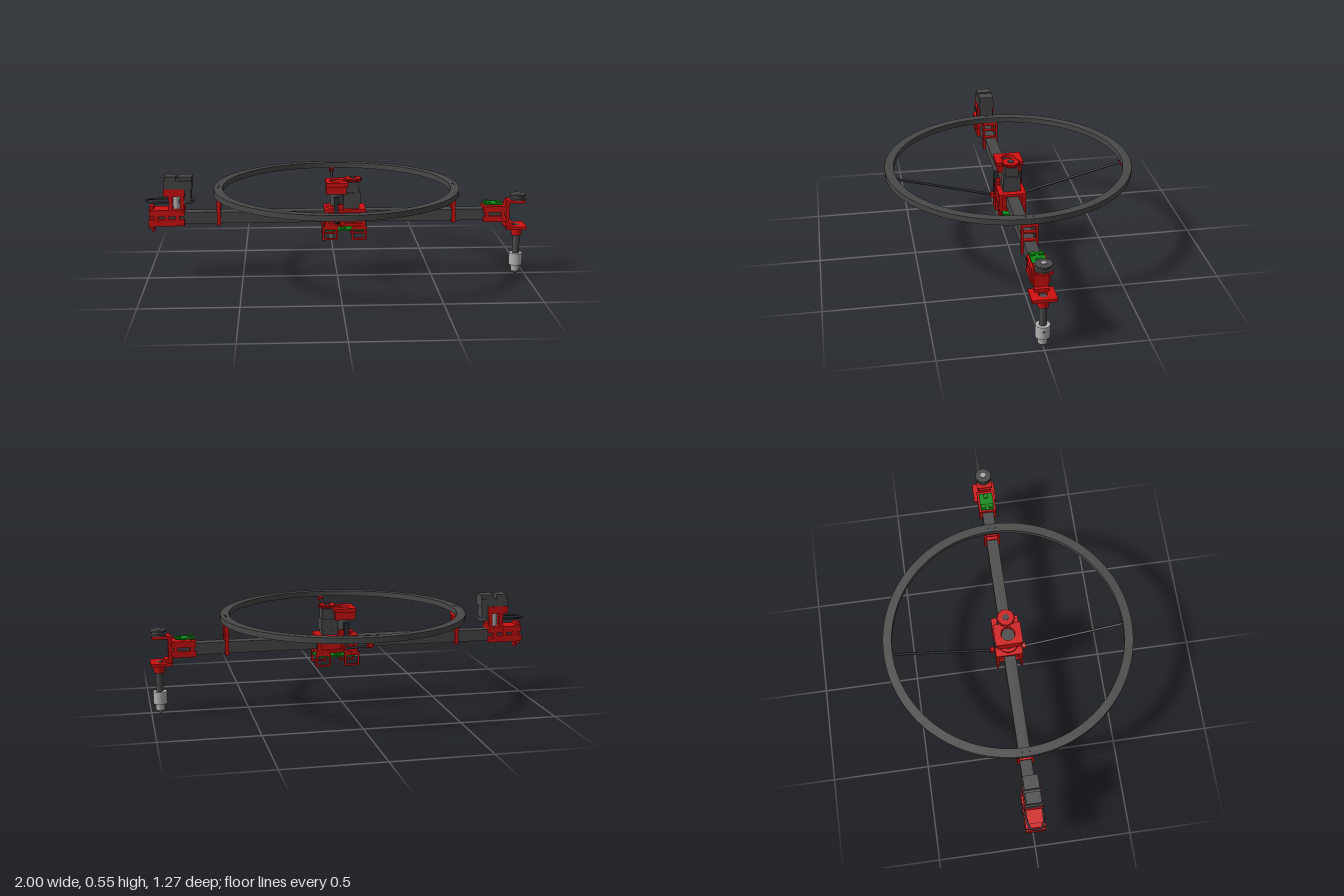
import * as THREE from 'three';

const mat = (color) => new THREE.MeshStandardMaterial({ color });
const RED = mat(0xd01010), DARK = mat(0x484848), BLACK = mat(0x303036), GREEN = mat(0x0a8a12), STEEL = mat(0xaaaaaa);

function add(parent, name, geo, material, x = 0, y = 0, z = 0) {
  const m = new THREE.Mesh(geo, material);
  m.name = name;
  m.position.set(x, y, z);
  parent.add(m);
  return m;
}
// box given by its limits on each axis
function box(parent, name, material, [x0, x1], [y0, y1], [z0, z1]) {
  return add(parent, name, new THREE.BoxGeometry(x1 - x0, y1 - y0, z1 - z0), material,
    (x0 + x1) / 2, (y0 + y1) / 2, (z0 + z1) / 2);
}
// upright cylinder between two heights
function cyl(parent, name, material, x, z, y0, y1, r, rBottom = r, n = 32) {
  return add(parent, name, new THREE.CylinderGeometry(r, rBottom, y1 - y0, n), material, x, (y0 + y1) / 2, z);
}
// flat shape in plan, extruded upwards from y
function plate(parent, name, material, shape, x, y, z, h) {
  const g = new THREE.ExtrudeGeometry(shape, { depth: h, bevelEnabled: false, curveSegments: 24 });
  g.rotateX(-Math.PI / 2);
  return add(parent, name, g, material, x, y, z);
}
function rectShape(w, d, holeR) {
  const s = new THREE.Shape();
  s.moveTo(-w / 2, -d / 2).lineTo(w / 2, -d / 2).lineTo(w / 2, d / 2).lineTo(-w / 2, d / 2).closePath();
  if (holeR) s.holes.push(new THREE.Path().absarc(0, 0, holeR, 0, Math.PI * 2, true));
  return s;
}
function gearShape(r, teeth, holeR) {
  const s = new THREE.Shape();
  for (let i = 0; i < teeth * 4; i++) {
    const a = (i / (teeth * 4)) * Math.PI * 2, q = i % 4 < 2 ? r : r * 0.86;
    i ? s.lineTo(q * Math.cos(a), q * Math.sin(a)) : s.moveTo(q, 0);
  }
  s.closePath();
  s.holes.push(new THREE.Path().absarc(0, 0, holeR, 0, Math.PI * 2, true));
  return s;
}
function group(parent, name) {
  const g = new THREE.Group();
  g.name = name;
  parent.add(g);
  return g;
}

function buildFrame(root) {
  box(root, 'beam', DARK, [-0.96, 0.89], [0.302, 0.362], [-0.03, 0.03]);
  // square-section ring
  const profile = [[0.592, 0.461], [0.637, 0.461], [0.637, 0.49], [0.592, 0.49], [0.592, 0.461]];
  const shape = new THREE.Shape().absarc(0, 0, profile[1][0], 0, Math.PI * 2);
  shape.holes.push(new THREE.Path().absarc(0, 0, profile[0][0], 0, Math.PI * 2, true));
  const g = new THREE.ExtrudeGeometry(shape, { depth: 0.029, bevelEnabled: false, curveSegments: 64 });
  g.rotateX(-Math.PI / 2);
  add(root, 'ring', g, DARK, -0.005, 0.461, 0);

  // brackets carrying the ring on the beam
  for (const s of [-1, 1]) {
    const b = group(root, 'ringBracket');
    const x = -0.005 + s * 0.613, xs = [x - 0.01, x + 0.01];
    for (const z of [-1, 1]) {
      box(b, 'bracketSide', RED, xs, [0.294, 0.44], [z * 0.036 - 0.006, z * 0.036 + 0.006]);
      box(b, 'ringScrew', BLACK, [x - 0.004, x + 0.004], [0.488, 0.492], [z * 0.02 - 0.004, z * 0.02 + 0.004]);
    }
    for (const y of [0.294, 0.362, 0.405]) box(b, 'crossPiece', RED, xs, [y, y + 0.008], [-0.036, 0.036]);
    box(b, 'bracketTop', RED, [x - 0.014, x + 0.014], [0.44, 0.461], [-0.042, 0.042]);
  }

  // struts to the front and back of the ring
  for (const s of [-1, 1]) {
    const a = new THREE.Vector3(-0.005, 0.305, s * 0.07), e = new THREE.Vector3(-0.005, 0.448, s * 0.62);
    const dir = e.clone().sub(a), len = dir.length();
    const strut = group(root, 'strut');
    strut.position.copy(a);
    strut.quaternion.setFromUnitVectors(new THREE.Vector3(0, 1, 0), dir.normalize());
    cyl(strut, 'rod', BLACK, 0, 0, 0, len, 0.0065, 0.0065, 12);
    box(strut, 'innerSocket', RED, [-0.012, 0.012], [-0.02, 0.025], [-0.012, 0.012]);
    box(strut, 'outerSocket', RED, [-0.011, 0.011], [len - 0.025, len + 0.004], [-0.011, 0.011]);
    box(root, 'ringFoot', RED, [-0.018, 0.008], [0.44, 0.461], [s * 0.612 - 0.015, s * 0.612 + 0.015]);
  }
}

function buildCentre(root) {
  const c = group(root, 'centreDrive');
  // cradle around the beam
  for (const s of [-1, 1]) {
    box(c, 'cradleSide', RED, [-0.06, 0.135], [0.3, 0.365], [s * 0.042 - 0.01, s * 0.042 + 0.01]);
    box(c, 'cradleRib', RED, [-0.025, 0.015], [0.285, 0.345], [s * 0.06 - 0.01, s * 0.06 + 0.01]);
    for (const x of [-0.058, 0.133]) box(c, 'cradlePost', RED, [x - 0.01, x + 0.01], [0.285, 0.375], [s * 0.06 - 0.01, s * 0.06 + 0.01]);
  }
  box(c, 'cradleTop', RED, [-0.07, 0.145], [0.362, 0.376], [-0.07, 0.07]);
  box(c, 'cradleBottom', RED, [-0.07, 0.145], [0.284, 0.3], [-0.065, 0.065]);
  box(c, 'circuitBoard', GREEN, [-0.06, 0.15], [0.258, 0.266], [-0.05, 0.05]);
  for (const x of [-0.02, 0.03, 0.1]) box(c, 'boardChip', GREEN, [x - 0.015, x + 0.015], [0.266, 0.282], [-0.03, 0.03]);

  // U-shaped landing legs
  for (const x of [-0.04, 0.112]) for (const s of [-1, 1]) {
    const leg = group(c, 'landingLeg'), zs = [s * 0.063 - 0.005, s * 0.063 + 0.005];
    box(leg, 'legLeft', RED, [x + 0.03, x + 0.04], [0.213, 0.286], zs);
    box(leg, 'legRight', RED, [x - 0.04, x - 0.03], [0.213, 0.286], zs);
    box(leg, 'legFoot', RED, [x - 0.04, x + 0.04], [0.213, 0.222], zs);
    box(leg, 'legTop', RED, [x - 0.04, x + 0.04], [0.268, 0.286], zs);
  }
  // motor beside the hollow main shaft
  box(c, 'motorLower', DARK, [0.0, 0.112], [0.376, 0.4], [-0.045, 0.045]);
  box(c, 'motor', DARK, [0.03, 0.118], [0.4, 0.46], [-0.043, 0.043]);
  box(c, 'motorCap', DARK, [0.045, 0.112], [0.46, 0.512], [-0.035, 0.035]);
  cyl(c, 'mainShaft', DARK, -0.005, 0, 0.376, 0.5, 0.034);
  cyl(c, 'shaftCollar', RED, -0.005, 0, 0.376, 0.388, 0.052);
  for (const s of [-1, 1]) {
    box(c, 'housingPost', RED, [-0.02, 0.03], [0.376, 0.402], [s * 0.056 - 0.008, s * 0.056 + 0.008]);
    box(c, 'shaftCable', BLACK, [-0.02, 0.002], [0.3, 0.44], [s * 0.062 - 0.012, s * 0.062 + 0.012]);
  }
  plate(c, 'gearHousing', RED, rectShape(0.105, 0.12, 0.036), -0.007, 0.455, 0, 0.045);
  plate(c, 'housingLid', RED, rectShape(0.115, 0.14, 0.036), -0.004, 0.496, 0, 0.02);
  plate(c, 'gear', RED, gearShape(0.047, 18, 0.016), 0.08, 0.515, 0, 0.016);
  cyl(c, 'gearHub', DARK, 0.08, 0, 0.51, 0.535, 0.016);
}

function buildGripper(root) {
  const g = group(root, 'leftTool');
  // clamp around the end of the beam
  for (const s of [-1, 1]) {
    box(g, 'clampSide', RED, [-0.98, -0.795], [0.295, 0.328], [s * 0.04 - 0.01, s * 0.04 + 0.01]);
    box(g, 'clampUpper', RED, [-0.975, -0.795], [0.345, 0.376], [s * 0.04 - 0.01, s * 0.04 + 0.01]);
    for (const x of [-0.94, -0.885, -0.83]) box(g, 'clampRib', RED, [x - 0.01, x + 0.01], [0.295, 0.376], [s * 0.042 - 0.009, s * 0.042 + 0.009]);
    // tower sides with the motor between them
    box(g, 'towerLeg', RED, [-0.875, -0.855], [0.376, 0.45], [s * 0.036 - 0.008, s * 0.036 + 0.008]);
    box(g, 'towerLeg', RED, [-0.815, -0.795], [0.376, 0.45], [s * 0.036 - 0.008, s * 0.036 + 0.008]);
  }
  box(g, 'clampTop', RED, [-0.97, -0.795], [0.362, 0.378], [-0.05, 0.05]);
  box(g, 'clampBottom', RED, [-0.97, -0.795], [0.294, 0.302], [-0.05, 0.05]);
  box(g, 'endPlate', RED, [-0.978, -0.955], [0.275, 0.395], [-0.03, 0.03]);
  box(g, 'endHook', RED, [-0.968, -0.953], [0.258, 0.28], [-0.015, 0.015]);
  box(g, 'towerTop', RED, [-0.9, -0.79], [0.45, 0.488], [-0.046, 0.046]);
  cyl(g, 'spindle', STEEL, -0.835, 0, 0.378, 0.45, 0.02);
  // motor block on top, with a side motor hanging down
  box(g, 'motorBase', DARK, [-0.9, -0.752], [0.488, 0.53], [-0.042, 0.042]);
  box(g, 'motorUpper', DARK, [-0.892, -0.835], [0.53, 0.552], [-0.038, 0.038]);
  box(g, 'motorUpper', DARK, [-0.82, -0.752], [0.53, 0.552], [-0.038, 0.038]);
  box(g, 'sideMotor', DARK, [-0.792, -0.758], [0.425, 0.49], [-0.035, 0.035]);
  cyl(g, 'sideMotorFoot', DARK, -0.785, 0, 0.41, 0.428, 0.04);
  // wire loop reaching past the end
  const pts = [[-0.87, 0.043], [-0.94, 0.042], [-0.982, 0.03], [-0.995, 0], [-0.982, -0.03], [-0.94, -0.042], [-0.87, -0.043]]
    .map(([x, z]) => new THREE.Vector3(x, 0.42, z));
  add(g, 'wireLoop', new THREE.TubeGeometry(new THREE.CatmullRomCurve3(pts), 40, 0.005, 8), BLACK);
}

function buildProbe(root) {
  const p = group(root, 'rightTool'), x = 0.953;
  for (const s of [-1, 1]) {
    box(p, 'clampSide', RED, [0.765, 0.89], [0.297, 0.325], [s * 0.037 - 0.008, s * 0.037 + 0.008]);
    box(p, 'clampUpper', RED, [0.765, 0.89], [0.345, 0.377], [s * 0.037 - 0.008, s * 0.037 + 0.008]);
    for (const cx of [0.785, 0.87]) box(p, 'clampRib', RED, [cx - 0.01, cx + 0.01], [0.297, 0.377], [s * 0.038 - 0.008, s * 0.038 + 0.008]);
  }
  box(p, 'clampTop', RED, [0.765, 0.89], [0.362, 0.377], [-0.045, 0.045]);
  box(p, 'clampBottom', RED, [0.765, 0.89], [0.294, 0.302], [-0.045, 0.045]);
  box(p, 'circuitBoard', GREEN, [0.77, 0.868], [0.384, 0.39], [-0.036, 0.036]);
  for (const [cx, cz] of [[0.79, -0.02], [0.79, 0.02], [0.85, 0]]) {
    box(p, 'boardChip', GREEN, [cx - 0.012, cx + 0.012], [0.39, 0.398], [cz - 0.012, cz + 0.012]);
    cyl(p, 'standoff', RED, cx, cz, 0.377, 0.384, 0.005, 0.005, 8);
  }
  // forked bracket holding the shaft
  box(p, 'forkBack', RED, [0.885, 0.905], [0.275, 0.4], [-0.035, 0.035]);
  plate(p, 'upperPlate', RED, rectShape(0.092, 0.08, 0.02), 0.94, 0.392, 0, 0.014);
  plate(p, 'lowerPlate', RED, rectShape(0.108, 0.12, 0.022), 0.942, 0.254, 0, 0.016);
  box(p, 'forkStep', RED, [0.885, 0.925], [0.262, 0.285], [-0.035, 0.035]);
  cyl(p, 'shaftHub', RED, x, 0, 0.213, 0.256, 0.03, 0.026);
  // pulley with two flanges
  cyl(p, 'pulleyFlange', DARK, x, 0, 0.406, 0.414, 0.042);
  cyl(p, 'pulley', DARK, x, 0, 0.414, 0.428, 0.032);
  cyl(p, 'pulleyFlange', DARK, x, 0, 0.428, 0.436, 0.042);
  cyl(p, 'pulleyHub', STEEL, x, 0, 0.436, 0.441, 0.014);
  // shaft and chuck
  cyl(p, 'shaft', DARK, x, 0, 0.11, 0.27, 0.018);
  cyl(p, 'chuckBody', mat(0xb4b4b4), x, 0, 0.05, 0.114, 0.035);
  cyl(p, 'chuckCollar', STEEL, x, 0, 0.016, 0.05, 0.023);
  cyl(p, 'chuckTip', mat(0x777777), x, 0, 0, 0.016, 0.023, 0.007);
  for (const s of [-1, 1]) {
    const hole = cyl(p, 'keyHole', BLACK, x + s * 0.035, 0, 0.09, 0.092, 0.005, 0.005, 12);
    hole.rotation.z = Math.PI / 2;
  }
}

export function createModel() {
  const root = new THREE.Group();
  root.name = 'ringedBeamMachine';
  buildFrame(root);
  buildCentre(root);
  buildGripper(root);
  buildProbe(root);
  return root;
}
